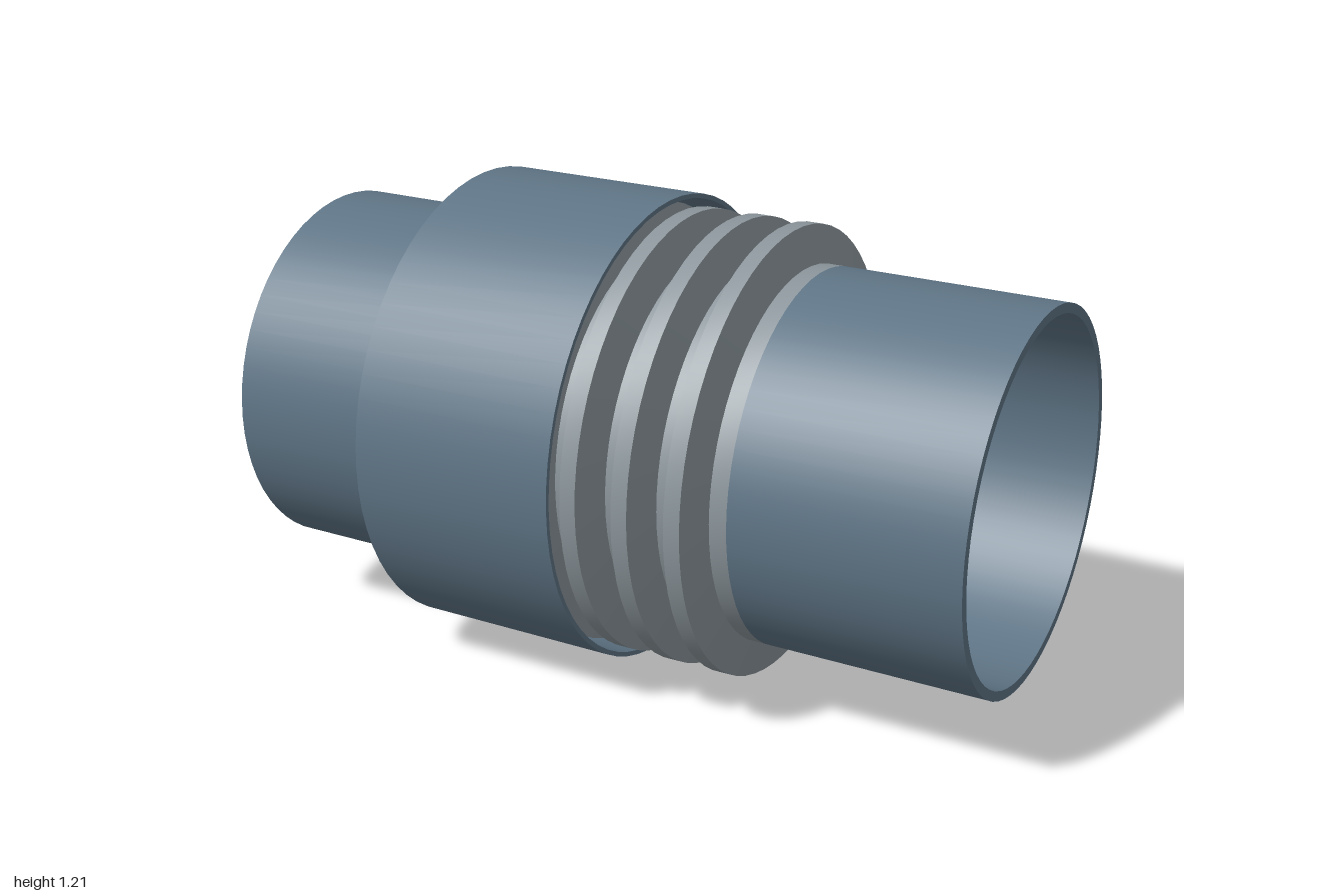
import * as THREE from 'three';
import { toCreasedNormals } from 'three/addons/utils/BufferGeometryUtils.js';

const SIDES = 64;
const AXIS_Y = 0.605;
const PIPE_R = 0.48, PIPE_INNER = 0.455;
const COVER_R = 0.605, COVER_INNER = 0.593;
const BELLOWS_START = -0.46, BELLOWS_END = 0.42;

const steel = new THREE.MeshStandardMaterial({ color: 0x5f7586 });
const lightSteel = new THREE.MeshStandardMaterial({ color: 0x8c969c });

// Turns a closed [x, radius] profile around the x axis.
// Profile order: outside from -x to +x, then inside back again.
function turned(name, profile, material) {
  const points = [...profile, profile[0]].map(([x, r]) => new THREE.Vector2(r, x));
  const lathe = new THREE.LatheGeometry(points, SIDES).rotateZ(-Math.PI / 2);
  const mesh = new THREE.Mesh(toCreasedNormals(lathe, 0.2), material);
  mesh.name = name;
  return mesh;
}

function pipe(name, x0, x1) {
  return turned(name, [[x0, PIPE_R], [x1, PIPE_R], [x1, PIPE_INNER], [x0, PIPE_INNER]], steel);
}

// Thin-walled bellows with six trapezoid convolutions and plain end cuffs
function bellows() {
  const count = 6, pitch = 0.139, lastCentre = 0.327;
  const baseHalf = 0.048, crestHalf = 0.021, crestR = 0.575;
  const wall = 0.013, sideShift = 0.01;
  const outer = [[BELLOWS_START, PIPE_R]];
  const inner = [[BELLOWS_START, PIPE_R - wall]];
  for (let i = count - 1; i >= 0; i--) {
    const c = lastCentre - i * pitch;
    const wave = (base, crest, drop) => [
      [c - base, PIPE_R - drop], [c - crest, crestR - drop],
      [c + crest, crestR - drop], [c + base, PIPE_R - drop],
    ];
    outer.push(...wave(baseHalf, crestHalf, 0));
    inner.push(...wave(baseHalf - sideShift, crestHalf - sideShift, wall));
  }
  outer.push([BELLOWS_END, PIPE_R]);
  inner.push([BELLOWS_END, PIPE_R - wall]);
  return turned('bellows', [...outer, ...inner.reverse()], lightSteel);
}

export function createModel() {
  const group = new THREE.Group();
  group.name = 'expansionJoint';

  // Pipe stubs at both ends of the bellows
  group.add(pipe('rightPipe', -1, BELLOWS_START));
  group.add(pipe('leftPipe', BELLOWS_END, 1));
  group.add(bellows());

  // Protective sleeve: closed by a ring on one pipe, open over the bellows
  const x0 = -0.54, x1 = 0.01, plate = 0.015;
  group.add(turned('coverSleeve', [
    [x0, PIPE_R], [x0, COVER_R], [x1, COVER_R], [x1, COVER_INNER],
    [x0 + plate, COVER_INNER], [x0 + plate, PIPE_R],
  ], steel));

  for (const part of group.children) part.position.y = AXIS_Y;
  return group;
}
